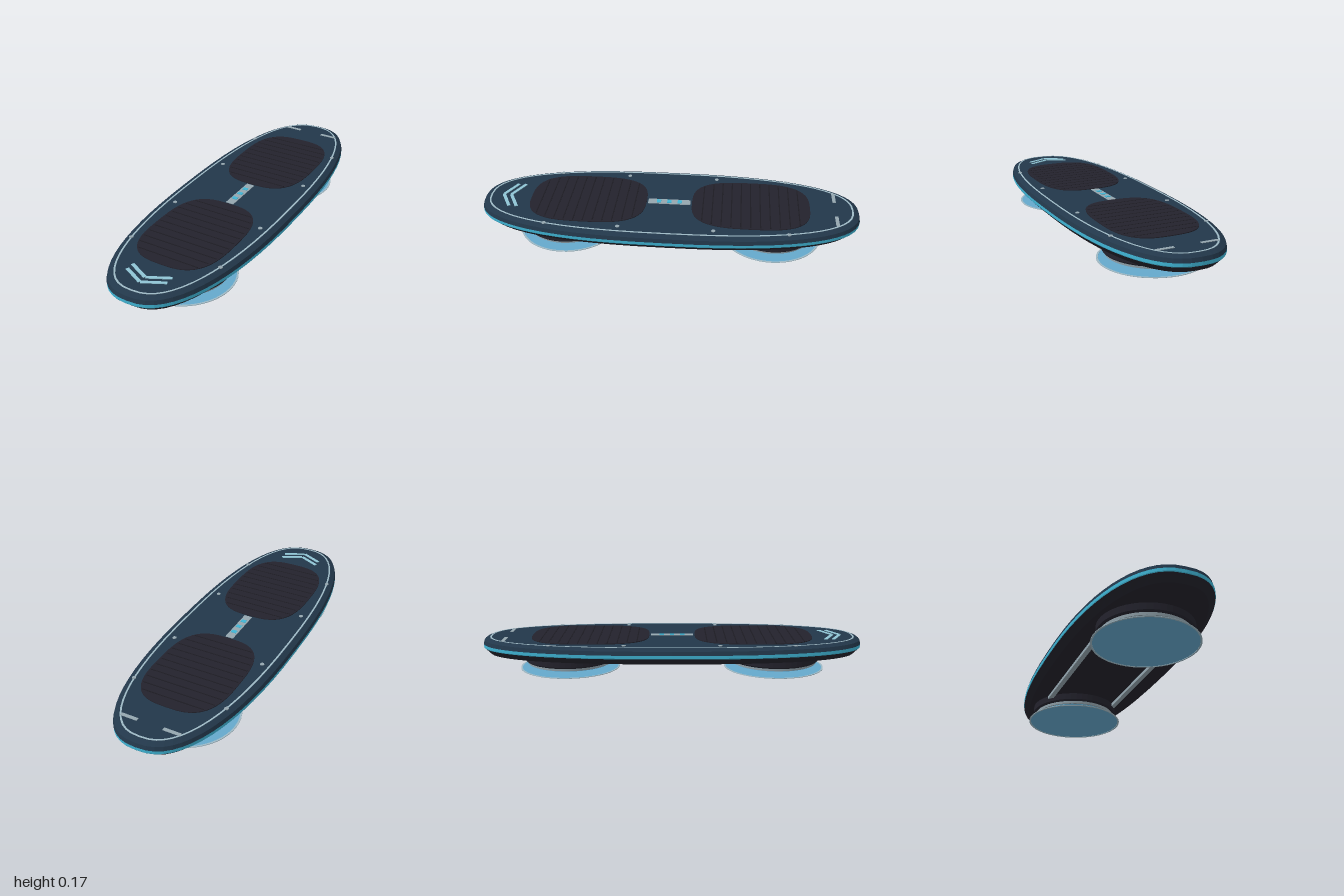
import * as THREE from 'three';

const mat = (name, color, extra = {}) =>
  Object.assign(new THREE.MeshStandardMaterial({ color }), { name }, extra);

// Superellipse outline in (x, z), ordered from +x towards -z
function outline(a, b, n, count) {
  const pts = [];
  for (let i = 0; i < count; i++) {
    const t = (i / count) * Math.PI * 2, c = Math.cos(t), s = Math.sin(t);
    pts.push(new THREE.Vector2(
      a * Math.sign(c) * Math.abs(c) ** (2 / n),
      b * Math.sign(s) * Math.abs(s) ** (2 / n)));
  }
  return pts;
}

// Flat plate lying on y with the given thickness
function plate(points, y, h, hole) {
  const shape = new THREE.Shape(points);
  if (hole) shape.holes.push(new THREE.Path(hole));
  const g = new THREE.ExtrudeGeometry(shape, { depth: h, bevelEnabled: false });
  return g.rotateX(-Math.PI / 2).translate(0, y, 0);
}

const deckOutline = (inset) => outline(0.335 - inset, 1 - inset, 2.5, 64);

// Wall of the deck through levels [y, inset], from bottom to top
function deckWall(levels) {
  const pos = [];
  for (let k = 0; k + 1 < levels.length; k++) {
    const [y0, i0] = levels[k], [y1, i1] = levels[k + 1];
    const lo = deckOutline(i0), hi = deckOutline(i1);
    for (let i = 0; i < lo.length; i++) {
      const j = (i + 1) % lo.length;
      const a = [lo[i].x, y0, -lo[i].y], b = [lo[j].x, y0, -lo[j].y];
      const c = [hi[j].x, y1, -hi[j].y], d = [hi[i].x, y1, -hi[i].y];
      pos.push(...a, ...b, ...c, ...a, ...c, ...d);
    }
  }
  const g = new THREE.BufferGeometry();
  g.setAttribute('position', new THREE.Float32BufferAttribute(pos, 3));
  g.computeVertexNormals();
  return g;
}

export function createModel() {
  const root = new THREE.Group();
  root.name = 'hoverboard';

  const navy = mat('navy deck', 0x22374a);
  const dark = mat('dark rubber', 0x23222c);
  const groove = mat('groove black', 0x1b1a22);
  const cyan = mat('cyan trim', 0x3fb4d4);
  const metal = mat('grey metal', 0x94a6af);
  const pale = mat('pale blue marking', 0x8fc4d4);
  const line = mat('inlay line', 0x9db8c4);
  const glow = mat('hover glow', 0x64a8cc, { side: THREE.DoubleSide });

  const add = (name, geometry, material, parent = root) => {
    const m = new THREE.Mesh(geometry, material);
    m.name = name;
    parent.add(m);
    return m;
  };
  const box = (name, w, h, d, x, y, z, material, parent) =>
    add(name, new THREE.BoxGeometry(w, h, d).translate(x, y, z), material, parent);

  // Deck: dark hull, cyan stripe and navy upper shell
  add('hullSide', deckWall([[0.085, 0.035], [0.111, 0.01], [0.118, 0.002]]), dark);
  add('trimStripe', deckWall([[0.118, 0.002], [0.122, 0], [0.137, 0]]), cyan);
  add('upperShell', deckWall([[0.137, 0], [0.157, 0.006], [0.169, 0.03]]), navy);
  add('deckTop', plate(deckOutline(0.03), 0.159, 0.01), navy);
  add('hullBottom', plate(deckOutline(0.035), 0.085, 0.01), dark);
  add('deckInlay', plate(deckOutline(0.034), 0.169, 0.0012, deckOutline(0.043)), line);

  // Foot pads with cross grooves
  for (const s of [1, -1]) {
    const pad = new THREE.Group();
    pad.name = s > 0 ? 'frontFootPad' : 'rearFootPad';
    pad.position.z = s * 0.43;
    root.add(pad);
    add('padSurface', plate(outline(0.225, 0.31, 3, 48), 0.168, 0.005), dark, pad);
    for (let i = -5; i <= 5; i++) {
      const z = i * 0.05;
      const w = 0.43 * (1 - Math.abs(z / 0.31) ** 3) ** (1 / 3);
      box('padGroove', w, 0.002, 0.006, 0, 0.1727, z, groove, pad);
    }
  }

  // Centre status strip with lights
  box('statusStrip', 0.044, 0.005, 0.224, 0, 0.1695, 0, metal);
  for (const z of [-0.055, 0, 0.055])
    box('statusLight', 0.028, 0.004, 0.022, 0, 0.1725, z, cyan);

  // Deck bolts, rear dashes and nose chevrons
  for (const x of [1, -1]) {
    for (const z of [-0.622, -0.243, 0.243, 0.622])
      add('deckBolt', new THREE.CylinderGeometry(0.011, 0.011, 0.004, 10)
        .translate(x * 0.253, 0.17, z), metal);
    box('rearDash', 0.09, 0.003, 0.018, x * 0.113, 0.17, -0.872, metal);
    for (const z of [0.828, 0.868]) {
      const arm = box('noseChevron', 0.122, 0.003, 0.017, 0, 0, 0, pale);
      arm.position.set(x * 0.056, 0.1705, z);
      arm.rotation.y = x * 0.46;
    }
    // Rails joining the two hover pods
    box('underRail', 0.026, 0.018, 0.82, x * 0.19, 0.077, 0, metal);
  }

  // Hover pods with their glow discs
  for (const s of [1, -1]) {
    const pod = new THREE.Group();
    pod.name = s > 0 ? 'frontHoverPod' : 'rearHoverPod';
    pod.position.z = s * 0.545;
    root.add(pod);
    const profile = [[0, 0.043], [0.234, 0.043], [0.24, 0.05], [0.24, 0.087]]
      .map(([r, y]) => new THREE.Vector2(r, y));
    const housing = new THREE.LatheGeometry(profile, 48).toNonIndexed();
    housing.computeVertexNormals();
    add('podHousing', housing, dark, pod);
    add('podRing', new THREE.CylinderGeometry(0.228, 0.226, 0.016, 48)
      .translate(0, 0.037, 0), metal, pod);
    add('podEmitter', new THREE.CylinderGeometry(0.218, 0.218, 0.004, 48)
      .translate(0, 0.027, 0), glow, pod);
    add('glowDisc', new THREE.CircleGeometry(0.256, 48)
      .rotateX(-Math.PI / 2).translate(0, 0.002, 0), glow, pod);
    add('glowRim', plate(outline(0.265, 0.265, 2, 48), 0, 0.003,
      outline(0.256, 0.256, 2, 48)), line, pod);
  }
  return root;
}
